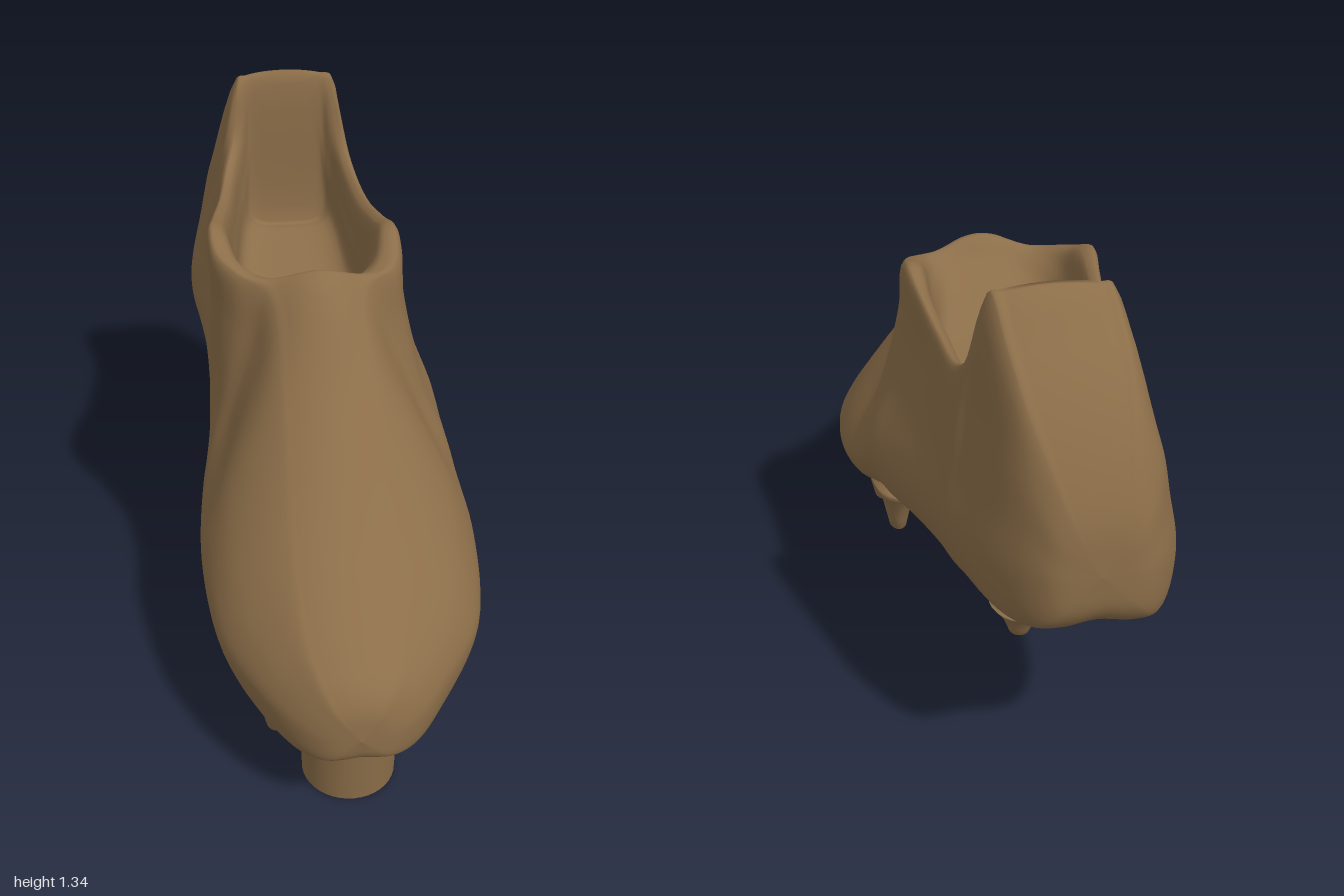
import * as THREE from 'three';

const { lerp, clamp, smoothstep } = THREE.MathUtils;

// Key cross-sections from heel to toe:
// z, side right, side left, rim right, rim left, sole y, top y
const SECTIONS = [
  [-1.0, -0.09, -0.09, -0.09, -0.09, 0.77, 0.77],
  [-0.988, -0.2, 0.01, -0.15, -0.03, 0.665, 0.89],
  [-0.95, -0.25, 0.06, -0.17, 0.01, 0.61, 1.0],
  [-0.88, -0.292, 0.108, -0.185, 0.055, 0.575, 1.13],
  [-0.79, -0.32, 0.15, -0.185, 0.085, 0.56, 1.25],
  [-0.69, -0.332, 0.185, -0.17, 0.105, 0.56, 1.345],
  [-0.66, -0.333, 0.195, -0.175, 0.115, 0.56, 1.29],
  [-0.62, -0.333, 0.205, -0.195, 0.14, 0.56, 1.15],
  [-0.54, -0.325, 0.22, -0.22, 0.155, 0.555, 1.095],
  [-0.35, -0.308, 0.26, -0.25, 0.168, 0.52, 1.083],
  [-0.16, -0.305, 0.298, -0.28, 0.188, 0.465, 1.108],
  [-0.05, -0.308, 0.32, -0.295, 0.2, 0.44, 1.125],
  [0.04, -0.317, 0.335, -0.285, 0.195, 0.4, 1.095],
  [0.11, -0.335, 0.345, -0.235, 0.17, 0.365, 1.07],
  [0.17, -0.35, 0.352, -0.16, 0.1, 0.335, 1.1],
  [0.38, -0.366, 0.36, -0.15, 0.11, 0.27, 0.855],
  [0.65, -0.335, 0.32, -0.16, 0.11, 0.215, 0.595],
  [0.84, -0.25, 0.207, -0.15, 0.09, 0.198, 0.482],
  [0.94, -0.175, 0.125, -0.12, 0.06, 0.2, 0.425],
  [0.985, -0.108, 0.05, -0.085, 0.025, 0.22, 0.365],
  [1.0, -0.03, -0.03, -0.03, -0.03, 0.285, 0.285],
];

// One closed ring: sole, side, rim, inside (or crown where closed), then the other side
function sectionCurve([z, xR, xL, rR, rL, yb, yt]) {
  const h = yt - yb;
  const y1 = yb + Math.min(z > 0 ? 0.11 : 0.14, h * 0.4);
  const open = z < -0.67 ? 0 : clamp((0.13 - z) / 0.29, 0, 1);
  const floor = 0.76 - 0.18 * z;
  const crown = open > 0 ? 0 : h * (z > 0 ? 0.085 : 0.02);
  // the waist is hollow-sided, heel and toe are full
  const waist = smoothstep(z, -0.85, -0.15) * (1 - smoothstep(z, 0, 0.45));
  const cBot = (xR + xL) / 2, cTop = (rR + rL) / 2;
  const P = (x, y) => new THREE.Vector3(x, y, z);

  const half = (X, r, lift) => {
    const rimY = yt - crown + lift * open;
    const sideTop = Math.min(rimY, 1.1);
    const inside = (f, bowlF, bowlY) => P(
      lerp(cTop, r, lerp(f, bowlF, open)),
      lerp(yt - crown * f * f, bowlY, open));
    return [
      P(lerp(cBot, X, 0.55), yb),
      P(lerp(cBot, X, 0.87), yb + h * 0.03),
      P(X, y1),
      P(lerp(X, r, lerp(0.2, 0.55, waist)), lerp(y1, sideTop, 0.4)),
      P(lerp(X, r, lerp(z > 0 ? 0.6 : 0.45, 0.88, waist)), lerp(y1, sideTop, 0.76)),
      P(r, rimY),
      inside(0.8, 0.87, rimY - 0.015),
      inside(0.6, 0.8, lerp(rimY, floor, 0.5)),
      inside(0.35, 0.7, floor + 0.02),
    ];
  };

  return new THREE.CatmullRomCurve3([
    P(cBot, yb + 0.03 * h), ...half(xL, rL, -0.012),
    P(cTop, lerp(yt, floor, open)), ...half(xR, rR, 0.012).reverse(),
  ], true, 'centripetal');
}

// Smooth loft through all cross-sections
function shellGeometry() {
  const COLS = 120, rows = (SECTIONS.length - 1) * 6;
  const curves = SECTIONS.map(sectionCurve);
  const lines = Array.from({ length: COLS }, (_, j) => new THREE.CatmullRomCurve3(
    curves.map((c) => c.getPoint(j / COLS)), false, 'centripetal'));
  const pos = [], index = [];
  for (let i = 0; i <= rows; i++) {
    for (const line of lines) pos.push(...line.getPoint(i / rows).toArray());
  }
  for (let i = 0; i < rows; i++) {
    for (let j = 0; j < COLS; j++) {
      const a = i * COLS + j, b = i * COLS + (j + 1) % COLS;
      index.push(a, b, b + COLS, a, b + COLS, a + COLS);
    }
  }
  const geo = new THREE.BufferGeometry();
  geo.setAttribute('position', new THREE.Float32BufferAttribute(pos, 3));
  geo.setIndex(index);
  geo.computeVertexNormals();
  return geo;
}

// Tapered stud with a soft root, tip at y = 0
function studGeometry() {
  const profile = [[0, 0], [0.026, 0], [0.038, 0.06], [0.05, 0.3], [0.066, 0.6],
    [0.09, 0.85], [0.11, 1.05], [0, 1.3]];
  return new THREE.LatheGeometry(profile.map(([x, y]) => new THREE.Vector2(x, y)), 24);
}

export function createModel() {
  const model = new THREE.Group();
  const bronze = new THREE.MeshStandardMaterial({ color: 0x8c6e49 });
  bronze.name = 'bronze';

  const add = (name, geo) => {
    const mesh = new THREE.Mesh(geo, bronze);
    mesh.name = name;
    model.add(mesh);
    return mesh;
  };

  add('bootShell', shellGeometry());

  // Studs: x, tip y, z, height, length scale
  const stud = studGeometry();
  const studs = [
    [0.165, 0.085, 0.7, 0.14, 1], [-0.205, 0.09, 0.7, 0.14, 1],
    [0.235, 0.145, 0.39, 0.14, 1.1], [-0.25, 0.145, 0.43, 0.13, 1.1],
    [0.23, 0.25, 0.06, 0.16, 1.1], [-0.225, 0.255, 0.06, 0.16, 1.1],
    [0.05, 0.49, -0.79, 0.085, 0.75], [-0.22, 0.495, -0.74, 0.08, 0.75],
  ];
  for (const [x, y, z, height, length] of studs) {
    const mesh = add('stud', stud);
    mesh.position.set(x, y, z);
    mesh.scale.set(0.65, height, length);
  }

  // Display post under the toe
  const post = add('post', new THREE.CylinderGeometry(0.125, 0.117, 0.28, 40));
  post.position.set(-0.03, 0.148, 0.787);
  post.rotation.x = 0.06;

  return model;
}
